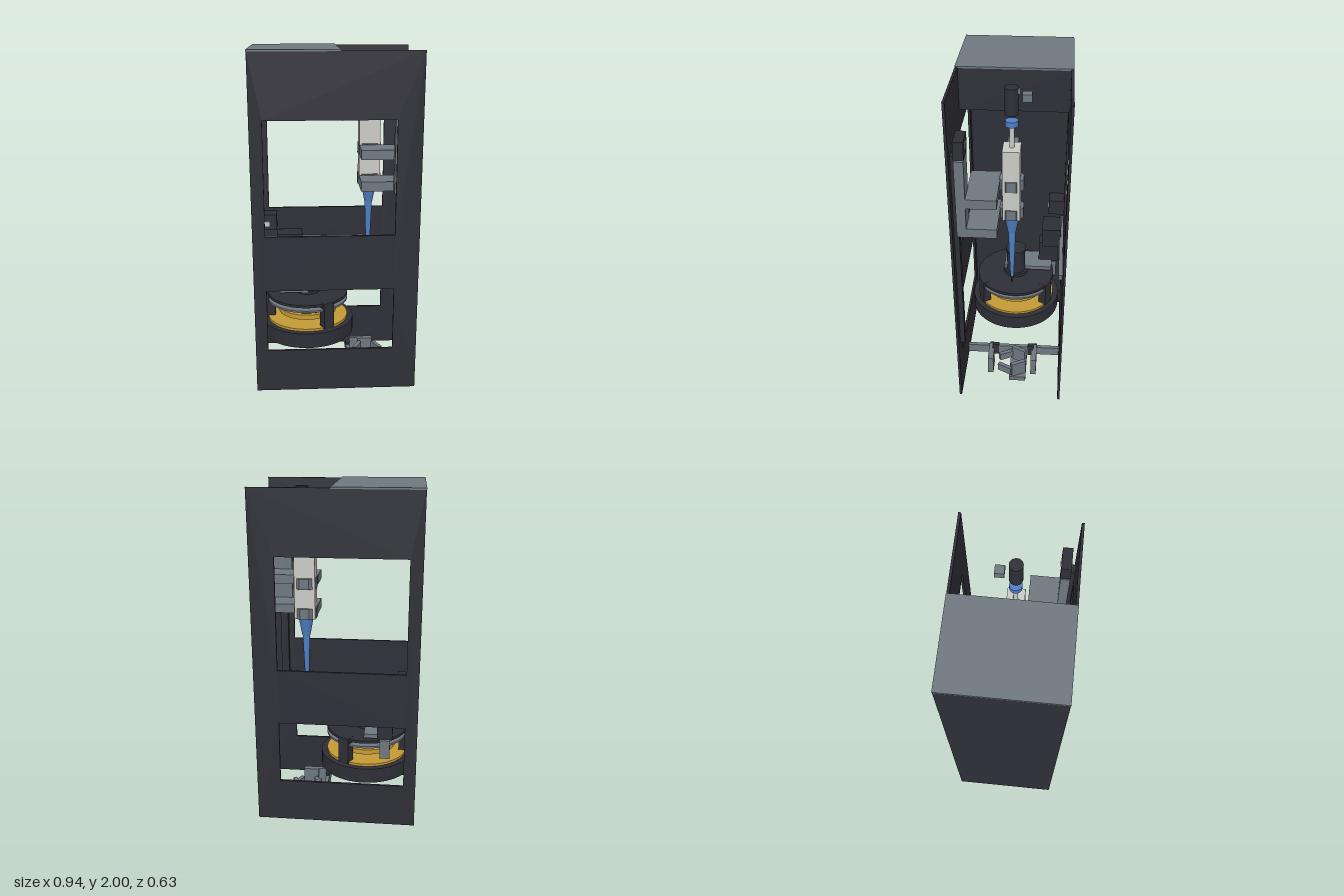
import * as THREE from 'three';

const mat = (name, color) => {
  const m = new THREE.MeshStandardMaterial({ color });
  m.name = name;
  return m;
};

export function createModel() {
  const root = new THREE.Group();
  root.name = 'automationCabinet';
  const dark = mat('charcoal', 0x2e2e37), grey = mat('steelGrey', 0x6e777f), light = mat('offWhite', 0xcacbc6),
    blue = mat('blue', 0x4f7fc4), gold = mat('gold', 0xc49a36);

  const add = (name, geo, m, parent = root) => {
    const mesh = new THREE.Mesh(geo, m);
    mesh.name = name;
    parent.add(mesh);
    return mesh;
  };
  const group = (name) => {
    const g = new THREE.Group();
    g.name = name;
    root.add(g);
    return g;
  };
  // Box given by its minimum and maximum on each axis
  const box = (name, m, x0, x1, y0, y1, z0, z1, parent) => {
    const b = add(name, new THREE.BoxGeometry(x1 - x0, y1 - y0, z1 - z0), m, parent);
    b.position.set((x0 + x1) / 2, (y0 + y1) / 2, (z0 + z1) / 2);
    return b;
  };
  // Upright cylinder or cone section between two heights
  const cyl = (name, m, x, z, y0, y1, rBottom, rTop = rBottom, sides = 48, parent) => {
    const c = add(name, new THREE.CylinderGeometry(rTop, rBottom, y1 - y0, sides), m, parent);
    c.position.set(x, (y0 + y1) / 2, z);
    return c;
  };
  const rect = (P, x0, x1, y0, y1) => {
    const p = new P();
    p.moveTo(x0, y0);
    p.lineTo(x1, y0);
    p.lineTo(x1, y1);
    p.lineTo(x0, y1);
    p.closePath();
    return p;
  };

  // Cabinet: two windowed panels, a closed side and a boxed top
  const cabinet = group('cabinet');
  const panelShape = rect(THREE.Shape, -0.47, 0.47, 0.02, 1.995);
  panelShape.holes.push(rect(THREE.Path, -0.4, 0.33, 0.98, 1.63), rect(THREE.Path, -0.4, 0.33, 0.28, 0.655));
  const panelGeo = new THREE.ExtrudeGeometry(panelShape, { depth: 0.014, bevelEnabled: false });
  add('frontPanel', panelGeo, dark, cabinet).position.z = 0.298;
  add('backPanel', panelGeo, dark, cabinet).position.z = -0.312;
  box('sidePanel', dark, -0.472, -0.458, 0.02, 1.99, -0.311, 0.311, cabinet);
  box('electronicsBox', dark, -0.46, 0.02, 1.755, 1.99, -0.299, 0.299, cabinet);
  box('topPlate', grey, -0.473, 0.022, 1.99, 2, -0.313, 0.313, cabinet);
  box('boxConnector', light, 0.02, 0.027, 1.855, 1.885, -0.03, 0.03, cabinet);

  // Vertical stage on the inside of the front panel
  const lift = group('verticalStage');
  box('liftRail', dark, 0.365, 0.413, 0.41, 1.68, 0.27, 0.299, lift);
  box('liftMotor', dark, 0.325, 0.453, 1.68, 1.78, 0.222, 0.276, lift);
  box('motorLabel', light, 0.373, 0.403, 1.72, 1.75, 0.217, 0.222, lift);
  box('liftPlate', grey, 0.325, 0.453, 1.215, 1.67, 0.225, 0.276, lift);
  for (const y of [1.215, 1.395]) {
    box('clampArm', grey, 0.143, 0.453, y, y + 0.055, 0.062, 0.228, lift);
    const c = cyl('clampRing', grey, 0.207, 0, y - 0.004, y + 0.06, 0.072, 0.072, 8, lift);
    c.rotation.y = Math.PI / 8;
    c.geometry = c.geometry.toNonIndexed();
    c.geometry.computeVertexNormals();
  }

  // Dispensing tool
  const tool = group('dispenser');
  const tx = 0.207;
  box('toolBody', light, tx - 0.061, tx + 0.061, 1.21, 1.635, -0.048, 0.048, tool);
  box('toolTab', grey, 0.05, 0.146, 1.585, 1.615, -0.03, 0.03, tool);
  cyl('plungerRod', light, tx, 0, 1.635, 1.76, 0.013, 0.013, 24, tool);
  cyl('plungerCap', blue, tx, 0, 1.76, 1.79, 0.034, 0.034, 32, tool);
  cyl('toolShoulder', blue, tx, 0, 1.1, 1.21, 0.024, 0.045, 32, tool);
  cyl('toolNozzle', blue, tx, 0, 0.78, 1.1, 0.01, 0.022, 32, tool);
  cyl('toolTip', dark, tx, 0, 0.73, 0.78, 0.004, 0.009, 16, tool);

  // Downward camera above the tool
  cyl('cameraBody', dark, 0.218, 0, 1.83, 1.975, 0.036);
  box('cameraBracket', grey, 0.18, 0.23, 1.9, 1.94, -0.105, -0.055);

  // Turntable with stacked plates
  const table = group('turntable');
  const cx = -0.163;
  for (const [name, m, y0, y1, r] of [
    ['baseDrum', dark, 0.275, 0.365, 0.28],
    ['goldDisc', gold, 0.365, 0.38, 0.245],
    ['lowerHub', dark, 0.38, 0.41, 0.1],
    ['goldRing', gold, 0.41, 0.44, 0.178],
    ['ringCover', dark, 0.455, 0.472, 0.185],
    ['spindle', dark, 0.44, 0.55, 0.075],
    ['steelPlate', grey, 0.484, 0.496, 0.245],
    ['upperPlate', dark, 0.515, 0.531, 0.245],
    ['motorBody', dark, 0.55, 0.7, 0.058],
    ['motorCap', dark, 0.7, 0.717, 0.065],
  ]) cyl(name, m, cx, 0, y0, y1, r, r, 64, table);
  for (let i = 0; i < 3; i++) {
    const a = Math.PI / 3 + (i * 2 * Math.PI) / 3;
    const post = box('platePost', dark, -0.025, 0.025, 0.37, 0.532, -0.035, 0.035, table);
    post.position.x = cx + 0.225 * Math.cos(a);
    post.position.z = 0.225 * Math.sin(a);
    post.rotation.y = -a;
  }

  // Horizontal stage on the back panel, carrying the turntable motor arm
  const slide = group('horizontalStage');
  box('slideRail', grey, -0.44, 0.205, 0.755, 0.79, -0.299, -0.275, slide);
  box('slideMotor', dark, -0.45, -0.35, 0.86, 0.96, -0.298, -0.2, slide);
  box('slideLabel', light, -0.43, -0.395, 0.885, 0.915, -0.2, -0.195, slide);
  box('carriage', dark, -0.35, -0.19, 0.71, 0.84, -0.285, -0.165, slide);
  box('carriageMotor', dark, -0.33, -0.24, 0.56, 0.705, -0.27, -0.145, slide);
  box('crossArm', grey, -0.33, -0.16, 0.545, 0.57, -0.23, 0.075, slide);
  box('hangingBracket', grey, -0.315, -0.255, 0.43, 0.545, -0.26, -0.228, slide);

  // Gripper at the open side, riding on a floor rail
  const gripper = group('gripper');
  box('gripperRail', grey, 0.083, 0.106, 0.04, 0.1, -0.299, 0.299, gripper);
  for (const s of [-1, 1]) {
    const near = box('gripperSlider', dark, 0.083, 0.109, 0.03, 0.112, -0.03, 0.03, gripper);
    near.position.z = s * 0.125;
    const finger = box('gripperFinger', grey, 0.109, 0.255, 0.005, 0.13, -0.011, 0.011, gripper);
    finger.position.z = s * 0.144;
    const pad = box('fingerPad', grey, 0.16, 0.255, 0.005, 0.13, -0.007, 0.007, gripper);
    pad.position.z = s * 0.127;
    // Angled jaws form a V on either side of the workpiece
    for (const e of [-1, 1]) {
      const h = s < 0 ? 0.12 : 0.05;
      const jaw = add('angledJaw', new THREE.BoxGeometry(0.024, h, 0.095), grey, gripper);
      jaw.position.set(0.214 + e * 0.062, 0.07, s * 0.042);
      jaw.rotation.y = -e * s * 0.45;
    }
  }
  box('jawFoot', grey, 0.106, 0.31, 0, 0.03, -0.09, 0.015, gripper);

  return root;
}
